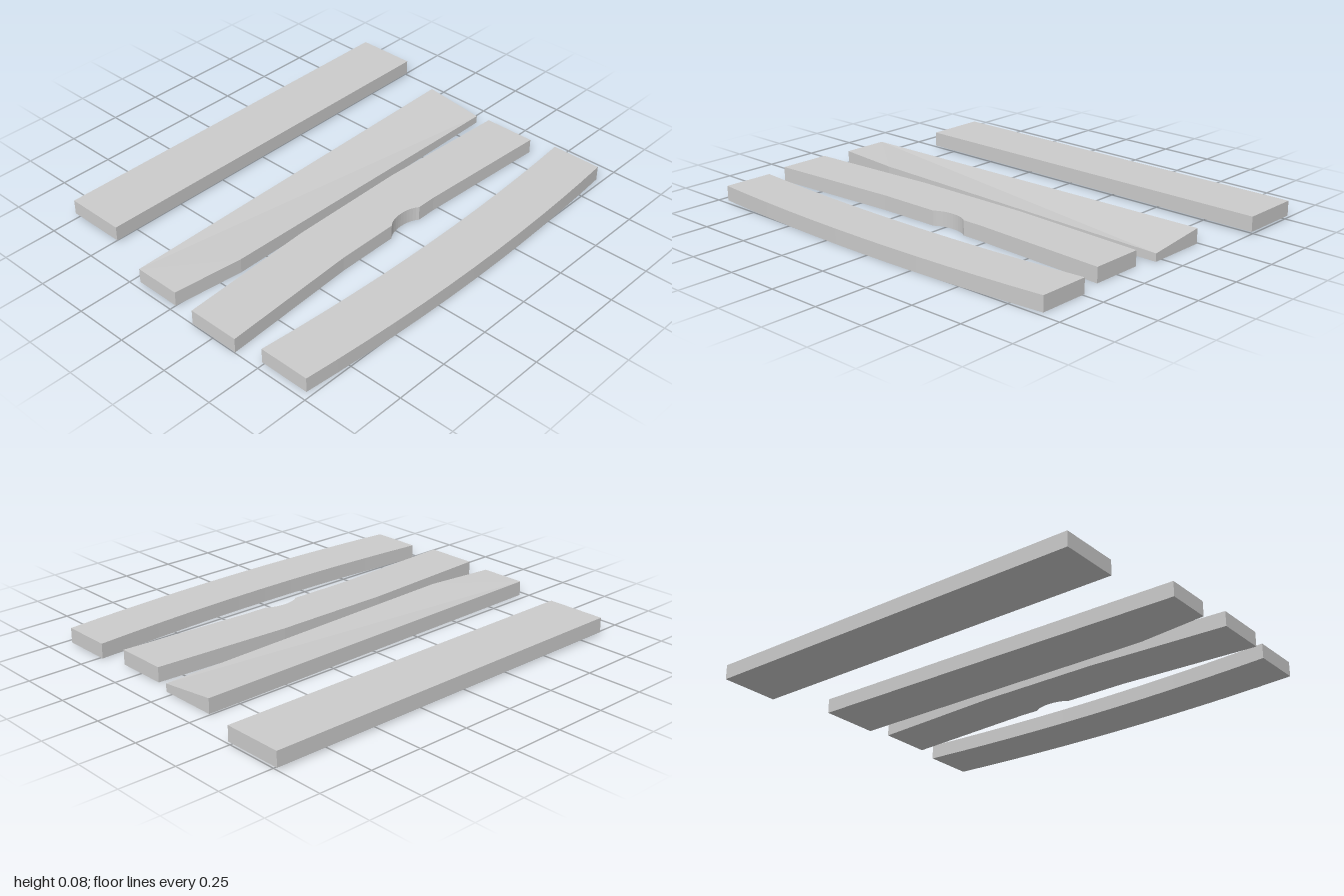
import * as THREE from 'three';

const THICK = 0.068;
const material = new THREE.MeshStandardMaterial({ color: 0xcccccc, flatShading: true });

// Extrude a plan outline upwards; outline coordinates are (x, -z).
function plank(name, shape, y = 0) {
  const geometry = new THREE.ExtrudeGeometry(shape, { depth: THICK, bevelEnabled: false, curveSegments: 12 });
  geometry.rotateX(-Math.PI / 2);
  geometry.translate(0, y, 0);
  const mesh = new THREE.Mesh(geometry, material);
  mesh.name = name;
  return mesh;
}

// Outline from straight runs given as [x, z]
function outline(points) {
  return new THREE.Shape(points.map(([x, z]) => new THREE.Vector2(x, -z)));
}

export function createModel() {
  const group = new THREE.Group();
  group.name = 'planks';

  // Plain rectangular board, sitting slightly higher
  group.add(plank('straightPlank', outline([[-0.77, 0.865], [-0.49, 0.865], [-0.49, -1], [-0.77, -1]]), 0.01));

  // Board with a clipped front corner and a worn-down back corner
  const worn = plank('wornPlank', outline([[-0.217, 0.97], [0, 0.97], [0.038, 0.645], [0.038, -0.897], [-0.242, -0.897]]));
  const p = worn.geometry.attributes.position;
  for (let i = 0; i < p.count; i++) {
    if (p.getX(i) > 0.03 && p.getZ(i) < -0.8 && p.getY(i) > 0.05) p.setY(i, THICK - 0.032);
  }
  worn.geometry.computeVertexNormals();
  group.add(worn);

  // Bent board with a rounded notch in its side
  const notched = new THREE.Shape();
  notched.moveTo(0.13, -0.997);
  notched.lineTo(0.373, -0.997);
  notched.lineTo(0.338, -0.35);
  notched.lineTo(0.338, -0.052);
  notched.bezierCurveTo(0.302, -0.01, 0.302, 0.085, 0.338, 0.127);
  notched.lineTo(0.338, 0.22);
  notched.lineTo(0.373, 0.868);
  notched.lineTo(0.13, 0.868);
  notched.lineTo(0.095, 0.22);
  notched.lineTo(0.095, -0.35);
  group.add(plank('notchedPlank', notched));

  // Evenly bowed board
  const bowed = new THREE.Shape();
  bowed.moveTo(0.488, -0.965);
  bowed.lineTo(0.724, -0.965);
  bowed.quadraticCurveTo(0.812, -0.032, 0.724, 0.9);
  bowed.lineTo(0.488, 0.9);
  bowed.quadraticCurveTo(0.574, -0.032, 0.488, -0.965);
  group.add(plank('bowedPlank', bowed));

  return group;
}
